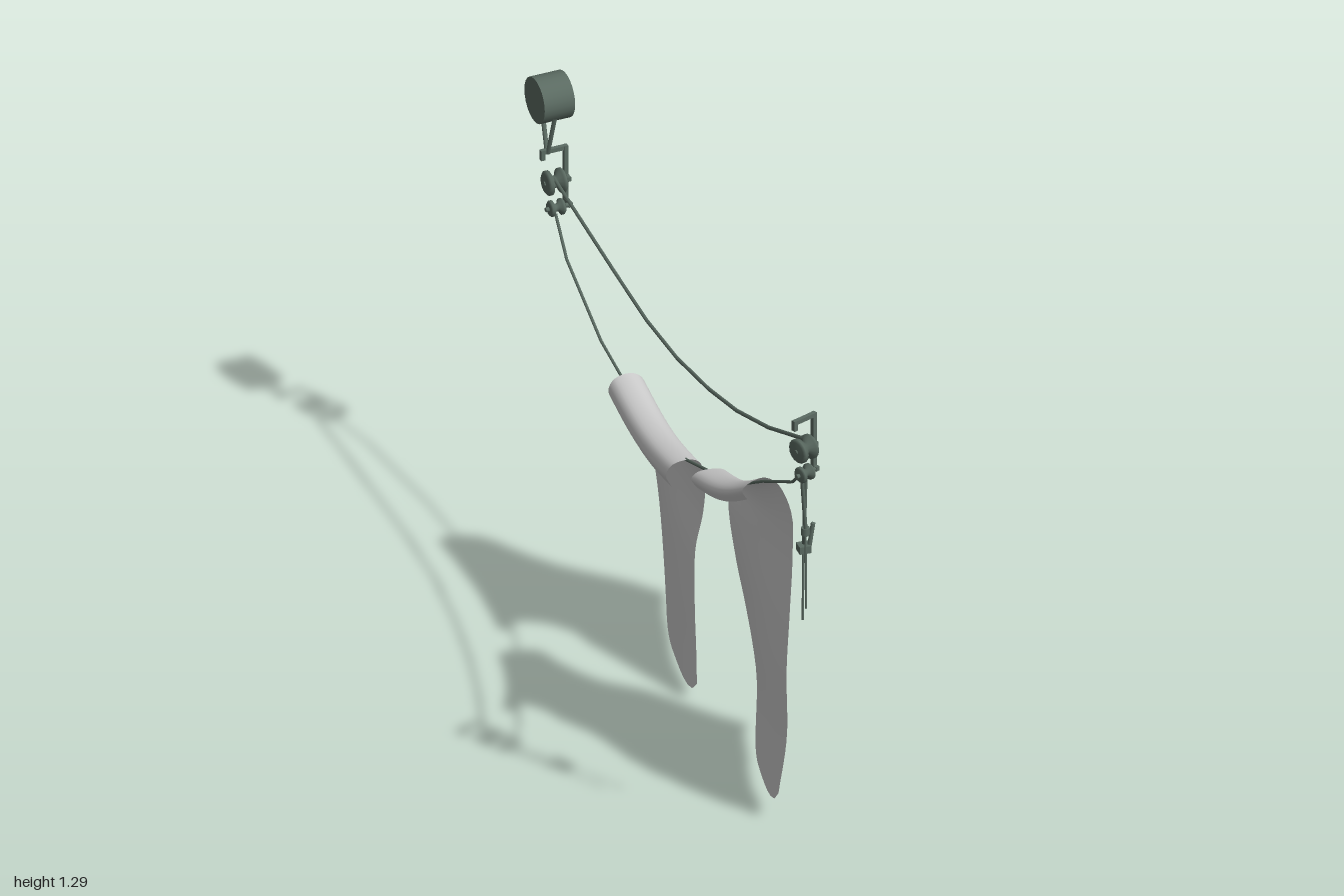
import * as THREE from 'three';

const metal = new THREE.MeshStandardMaterial({ color: 0x5b6b62 });
const fabric = new THREE.MeshStandardMaterial({ color: 0xcccccc, side: THREE.DoubleSide });
const V = (p) => new THREE.Vector3(...p);

function add(parent, name, geometry, x = 0, y = 0, z = 0) {
  const mesh = new THREE.Mesh(geometry, metal);
  mesh.name = name;
  mesh.position.set(x, y, z);
  parent.add(mesh);
  return mesh;
}

// Straight-segmented cord made of short rods
function cord(parent, name, points, radius = 0.004) {
  const path = new THREE.CurvePath();
  for (let i = 1; i < points.length; i++) path.add(new THREE.LineCurve3(V(points[i - 1]), V(points[i])));
  const group = new THREE.Group();
  group.name = name;
  for (const line of path.curves) add(group, name + 'Segment', new THREE.TubeGeometry(line, 1, radius, 6));
  parent.add(group);
}

// Grooved pulley wheel with its axis along x
function spool(parent, name, r, w, y, z) {
  const profile = [[0, -w], [r * 0.8, -w], [r, -w * 0.8], [r, -w * 0.5], [r * 0.5, -w * 0.2],
    [r * 0.5, w * 0.2], [r, w * 0.5], [r, w * 0.8], [r * 0.8, w], [0, w]];
  const geometry = new THREE.LatheGeometry(profile.map((p) => new THREE.Vector2(...p)), 16);
  geometry.rotateZ(-Math.PI / 2);
  add(parent, name, geometry, -0.006, y, z);
}

// Hooked bracket carrying a large and a small pulley; origin at the hook top
function pulley(parent, name, x, y, z, angle, forward) {
  const g = new THREE.Group();
  g.name = name;
  g.position.set(x, y, z);
  g.rotation.y = angle;
  add(g, 'hookTop', new THREE.BoxGeometry(0.072, 0.011, 0.011), 0, -0.006);
  add(g, 'hookLip', new THREE.BoxGeometry(0.011, 0.028, 0.011), -0.031, -0.014);
  add(g, 'bracketPost', new THREE.BoxGeometry(0.011, 0.165, 0.012), 0.031, -0.083);
  for (const [r, w, py, f] of [[0.032, 0.026, -0.087, forward], [0.021, 0.02, -0.155, forward * 1.6]]) {
    spool(g, 'pulleyWheel', r, w, py, f);
    const axle = add(g, 'axle', new THREE.CylinderGeometry(0.006, 0.006, 0.07, 8), 0, py, f);
    axle.rotation.z = Math.PI / 2;
    add(g, 'axleArm', new THREE.BoxGeometry(0.011, 0.012, Math.abs(f) + 0.012), 0.031, py, f / 2);
  }
  parent.add(g);
}

// Cloth spanned between two edge curves that run flap -> over the line -> hem
function cloth(parent, name, edgeA, edgeB, sag) {
  const a = new THREE.CatmullRomCurve3(edgeA.map(V));
  const b = new THREE.CatmullRomCurve3(edgeB.map(V));
  const rows = 44, cols = 14;
  const geometry = new THREE.PlaneGeometry(1, 1, cols, rows);
  const pos = geometry.attributes.position;
  for (let i = 0; i <= rows; i++) {
    const t = i / rows, pa = a.getPoint(t), pb = b.getPoint(t);
    const hang = Math.max(0, (t - 0.4) / 0.6);
    for (let j = 0; j <= cols; j++) {
      const s = j / cols;
      const drop = (1 - hang) * sag * Math.sin(Math.PI * s)
        + hang ** 3 * (0.035 * Math.sin(Math.PI * Math.sqrt(s)) + 0.005 * Math.sin(s * 12));
      pos.setXYZ(i * (cols + 1) + j,
        THREE.MathUtils.lerp(pa.x, pb.x, s * s),
        THREE.MathUtils.lerp(pa.y, pb.y, s) - drop,
        THREE.MathUtils.lerp(pa.z, pb.z, s));
    }
  }
  geometry.computeVertexNormals();
  const mesh = new THREE.Mesh(geometry, fabric);
  mesh.name = name;
  parent.add(mesh);
}

export function createModel() {
  const model = new THREE.Group();
  model.name = 'clothesline';

  // Pulleys at both ends
  pulley(model, 'frontPulley', -0.033, 1.293, 0.963, 0.4, 0.006);
  pulley(model, 'backPulley', -0.038, 1.02, -0.912, 0.1, 0.017);

  // Anchor drum and the strap hanging from it
  const drum = add(model, 'anchorDrum', new THREE.CylinderGeometry(0.06, 0.06, 0.082, 24), -0.04, 1.15, -0.937);
  drum.rotation.set(0, 0.1, Math.PI / 2);
  cord(model, 'drumStrap', [[-0.045, 1.125, -0.992], [-0.055, 1.01, -0.915],
    [-0.055, 1.01, -0.907], [-0.045, 1.12, -0.884]], 0.006);

  // Upper and lower runs of the line, given as [y, z]
  const run = (pts) => pts.map(([y, z]) => [-0.032 + Math.min(0, z) * 0.014, y, z]);
  cord(model, 'upperLine', run([[1.225, 0.955], [1.11, 0.69], [1.025, 0.45], [0.97, 0.24],
    [0.925, 0], [0.911, -0.22], [0.92, -0.45], [0.944, -0.89]]), 0.005);
  cord(model, 'lowerLine', run([[1.125, 0.95], [1.055, 0.87], [0.935, 0.65], [0.82, 0.46], [0.748, 0.27],
    [0.675, 0.07], [0.65, -0.05], [0.64, -0.18], [0.645, -0.36], [0.67, -0.55], [0.765, -0.8], [0.85, -0.88]]));

  // Tightening cords, cleat and loose ends at the front
  cord(model, 'tensionCordA', [[-0.045, 1.13, 0.98], [-0.035, 0.975, 0.98], [-0.028, 0.915, 0.942]], 0.005);
  cord(model, 'tensionCordB', [[-0.03, 1.13, 0.965], [-0.028, 0.915, 0.945]], 0.005);
  add(model, 'cleat', new THREE.BoxGeometry(0.03, 0.02, 0.03), -0.03, 0.912, 0.95);
  const bar = add(model, 'cleatBar', new THREE.CylinderGeometry(0.006, 0.006, 0.07, 8), -0.012, 0.945, 0.953);
  bar.rotation.z = -0.15;
  add(model, 'cleatKnob', new THREE.CylinderGeometry(0.011, 0.011, 0.02, 10), -0.035, 0.975, 0.977);
  cord(model, 'looseEndA', [[-0.036, 0.975, 0.98], [-0.036, 0.76, 0.985]], 0.003);
  cord(model, 'looseEndB', [[-0.028, 0.91, 0.94], [-0.028, 0.7, 0.937]], 0.003);

  // Two hanging cloths
  cloth(model, 'frontCloth',
    [[-0.07, 0.885, 0.64], [-0.085, 0.915, 0.645], [-0.07, 0.935, 0.65], [-0.03, 0.945, 0.65],
      [0, 0.93, 0.665], [0.02, 0.87, 0.71], [0.02, 0.75, 0.72], [0, 0.6, 0.755],
      [-0.01, 0.45, 0.762], [-0.01, 0.27, 0.765], [-0.02, 0.09, 0.73]],
    [[-0.07, 0.71, 0.265], [-0.085, 0.735, 0.26], [-0.07, 0.755, 0.265], [-0.03, 0.76, 0.27],
      [0, 0.75, 0.27], [0.015, 0.72, 0.275], [0.005, 0.66, 0.28], [0.015, 0.52, 0.305],
      [0.045, 0.38, 0.285], [0.07, 0.2, 0.3], [0.08, 0.045, 0.28]], 0.02);
  cloth(model, 'backCloth',
    [[-0.07, 0.605, 0.07], [-0.085, 0.64, 0.07], [-0.07, 0.67, 0.075], [-0.03, 0.68, 0.08],
      [0, 0.665, 0.075], [0.02, 0.6, 0.06], [0.02, 0.5, 0.045], [0, 0.4, 0.045],
      [-0.01, 0.25, 0.07], [-0.015, 0.15, 0.095], [-0.02, 0.06, 0.115]],
    [[-0.07, 0.605, -0.365], [-0.085, 0.64, -0.365], [-0.07, 0.67, -0.365], [-0.03, 0.68, -0.365],
      [0, 0.665, -0.365], [0.02, 0.61, -0.368], [0.02, 0.55, -0.37], [0.03, 0.44, -0.36],
      [0.045, 0.33, -0.367], [0.07, 0.15, -0.4], [0.083, 0.015, -0.41]], 0.025);

  return model;
}
